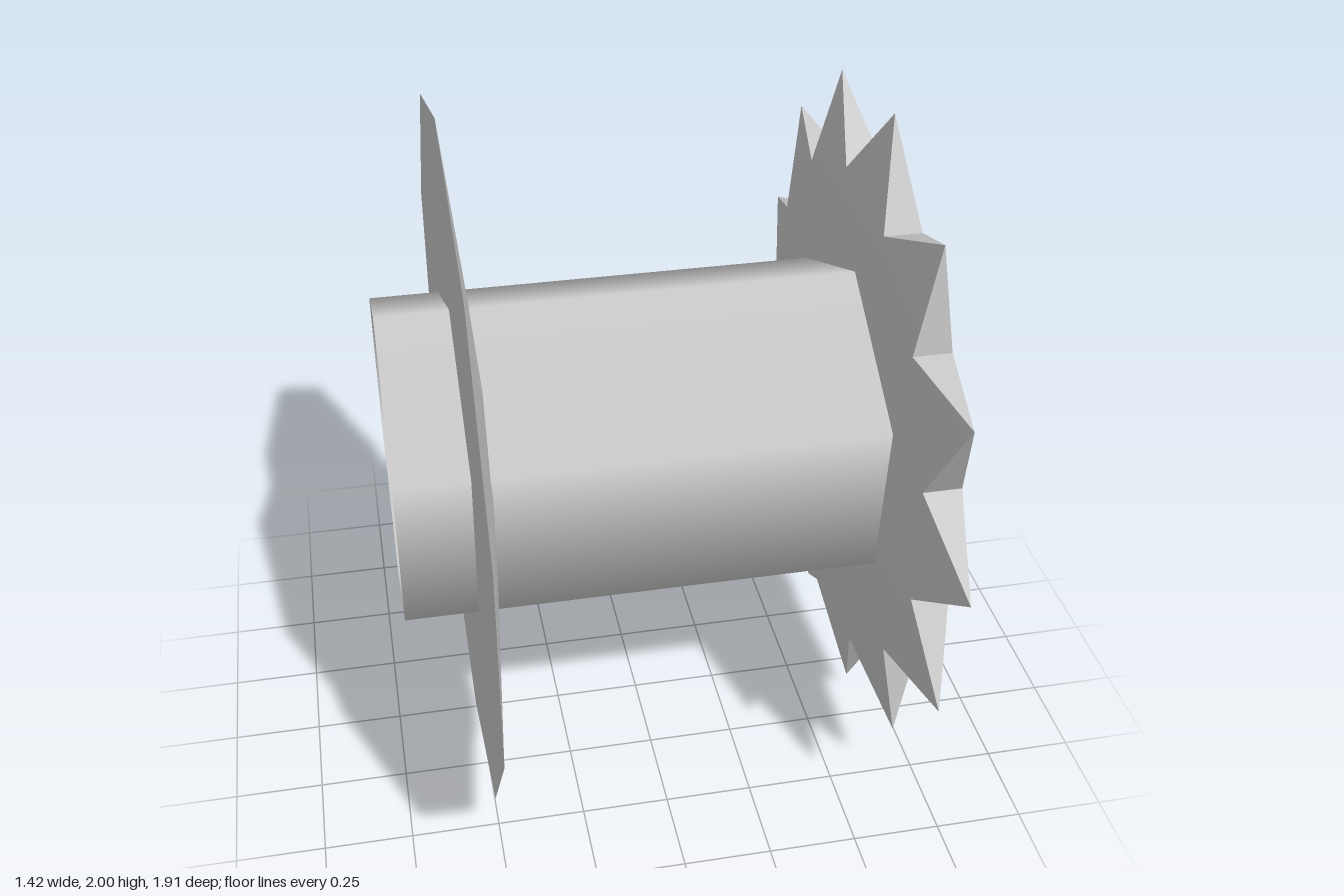
import * as THREE from 'three';
import { toCreasedNormals } from 'three/addons/utils/BufferGeometryUtils.js';

const rad = THREE.MathUtils.degToRad;

// Toothed wheel: each tooth tapers from a full-width valley to a point at mid thickness
function toothedWheelGeometry(teeth, tipRadius, valleyRadius, thickness, startAngle) {
  const pos = [];
  const h = thickness / 2;
  const step = (Math.PI * 2) / teeth;
  const at = (a, r, x) => [x, r * Math.cos(a), r * Math.sin(a)];
  const tri = (a, b, c) => pos.push(...a, ...b, ...c);
  for (let i = 0; i < teeth; i++) {
    const a = startAngle + i * step;
    const tip = at(a, tipRadius, 0);
    const outer0 = at(a - step / 2, valleyRadius, h);
    const outer1 = at(a + step / 2, valleyRadius, h);
    const inner0 = at(a - step / 2, valleyRadius, -h);
    const inner1 = at(a + step / 2, valleyRadius, -h);
    tri([h, 0, 0], outer0, outer1);
    tri(outer0, tip, outer1);
    tri([-h, 0, 0], inner1, inner0);
    tri(inner1, tip, inner0);
    // tooth flanks
    tri(outer0, inner0, tip);
    tri(outer1, tip, inner1);
  }
  const geo = new THREE.BufferGeometry();
  geo.setAttribute('position', new THREE.Float32BufferAttribute(pos, 3));
  return toCreasedNormals(geo, rad(30));
}

export function createModel() {
  const group = new THREE.Group();
  const solid = new THREE.MeshStandardMaterial({ color: 0xcccccc });
  const open = new THREE.MeshStandardMaterial({ color: 0xcccccc, side: THREE.DoubleSide });
  const add = (name, geo, mat, x) => {
    const mesh = new THREE.Mesh(geo, mat);
    mesh.name = name;
    mesh.position.set(x, 1, 0);
    group.add(mesh);
  };

  // Six-sided open sleeve along x, slightly flattened in height
  const left = -0.71, right = 0.61;
  const sleeve = new THREE.CylinderGeometry(0.5, 0.5, right - left, 6, 1, true, rad(5 - 90));
  sleeve.rotateZ(-Math.PI / 2).scale(1, 0.935, 1);
  add('sleeve', sleeve, open, (left + right) / 2);

  // Ten-sided flange: a shallow cone with its flat base outwards
  const flange = new THREE.ConeGeometry(1, 0.1, 10, 1, false, rad(1.1 - 90));
  flange.rotateZ(-Math.PI / 2);
  add('flange', flange, solid, -0.46);

  // Thirteen-toothed wheel closing the other end
  add('toothedWheel', toothedWheelGeometry(13, 0.957, 0.72, 0.105, rad(6)), solid, 0.658);

  return group;
}
